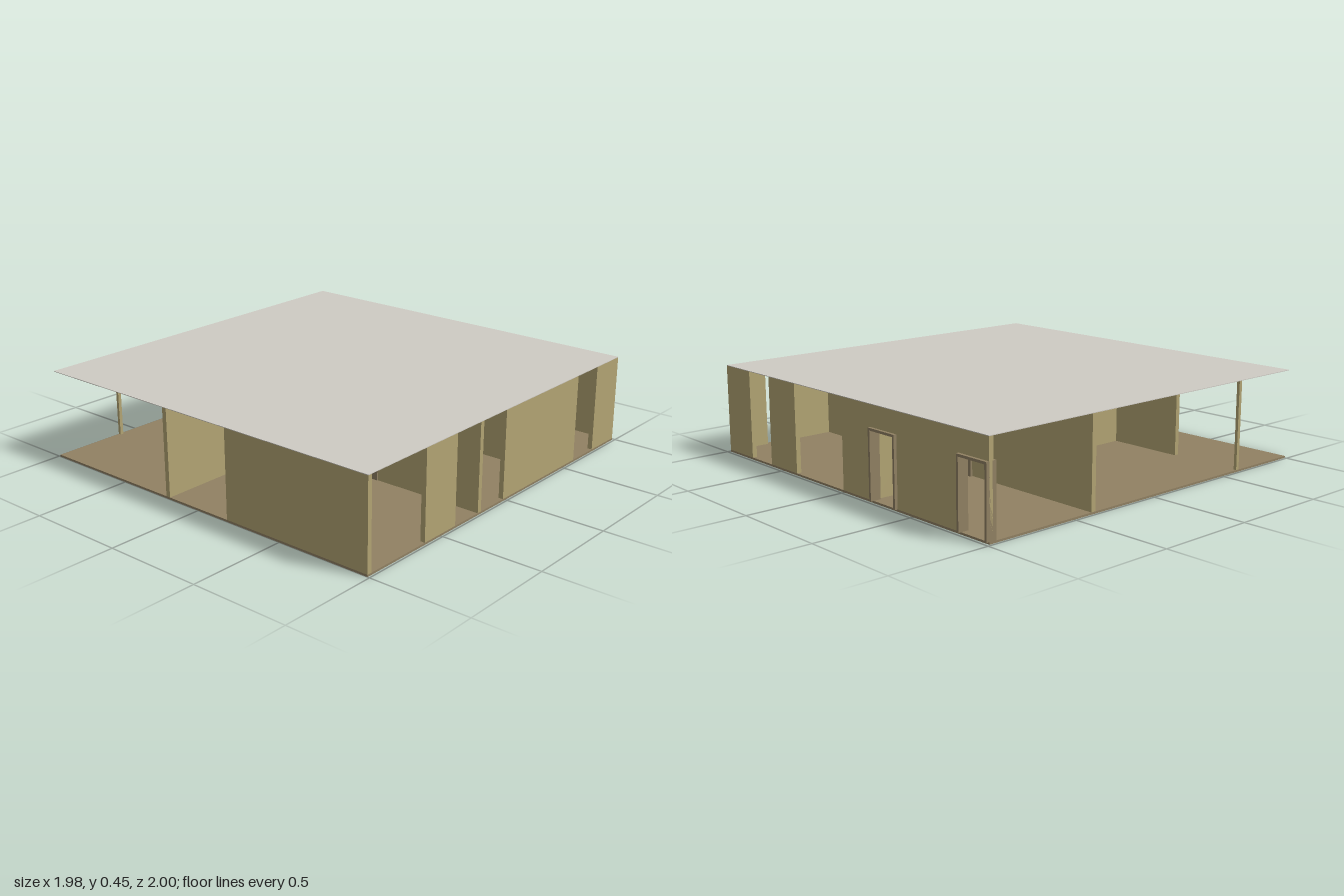
import * as THREE from 'three';

export function createModel() {
  const house = new THREE.Group();
  house.name = 'house';

  const mat = (name, color) => {
    const m = new THREE.MeshStandardMaterial({ color });
    m.name = name;
    return m;
  };
  const wallMat = mat('wall olive', 0xb3a574);
  const floorMat = mat('floor brown', 0x918163);
  const roofMat = mat('ceiling grey', 0xcfcbc4);
  const plateMat = mat('switch white', 0xe6e4de);

  const FLOOR = 0.01, TOP = 0.447, DOOR = 0.345;
  const T = 0.024; // wall thickness

  // Box from its two extreme corners
  function block(name, m, x0, x1, y0, y1, z0, z1, parent = house) {
    const mesh = new THREE.Mesh(new THREE.BoxGeometry(x1 - x0, y1 - y0, z1 - z0), m);
    mesh.position.set((x0 + x1) / 2, (y0 + y1) / 2, (z0 + z1) / 2);
    mesh.name = name;
    parent.add(mesh);
    return mesh;
  }

  // Walls running along x (centre z) and along z (centre x)
  const wallX = (name, z, x0, x1, y0 = FLOOR) =>
    block(name, wallMat, x0, x1, y0, TOP, z - T / 2, z + T / 2);
  const wallZ = (name, x, z0, z1, y0 = FLOOR) =>
    block(name, wallMat, x - T / 2, x + T / 2, y0, TOP, z0, z1);

  // Slabs
  block('floor', floorMat, -0.99, 0.99, 0, FLOOR, -0.985, 1);
  block('ceiling', roofMat, -0.99, 0.99, TOP, 0.45, -0.985, 1);

  // Back wall with tall openings
  const back = -0.985 + T / 2;
  for (const [a, b] of [[0.78, 0.99], [0.385, 0.605], [-0.21, 0.005], [-0.805, -0.395]]) {
    wallX('backWall', back, a, b);
  }

  // Right-hand outer wall, same rhythm of openings
  const side = 0.99 - T / 2;
  for (const [a, b] of [[0.395, 0.615], [-0.6, 0.02], [-0.961, -0.78]]) {
    wallZ('sideWall', side, a, b);
  }

  // Front wall beside the entrance, and porch wall
  wallX('frontWall', 1 - T / 2, 0.185, 0.99);
  wallX('porchWall', 0.615, -0.61, -0.21);

  // Inner partitions
  wallX('crossWallLeft', -0.385, -0.99, -0.186);
  wallX('crossWallRight', -0.385, 0.005, 0.99);
  wallX('bedroomWall', 0.21, 0.41, 0.99);
  wallZ('entranceWall', -0.198, 0.2, 1);
  wallZ('hallWall', 0.398, -0.373, 0.215);
  wallZ('hallWall', 0.398, 0.395, 0.976);
  wallZ('kitchenWall', -0.198, -0.961, -0.585);

  // Corner posts of the open side
  for (const z of [-0.975, 0.615]) {
    block('post', wallMat, -0.99, -0.975, FLOOR, TOP, z - 0.009, z + 0.009);
  }

  // Door frame with a header panel; local x is the width, local z the depth
  function doorway(name, width, depth) {
    const g = new THREE.Group();
    g.name = name;
    const w = width / 2, j = 0.012;
    for (const s of [-1, 1]) {
      const c = s * (w - j / 2);
      block('jamb', floorMat, c - j / 2, c + j / 2, FLOOR, DOOR, -depth / 2, depth / 2, g);
    }
    block('lintel', floorMat, -w + j, w - j, DOOR - j, DOOR, -depth / 2, depth / 2, g);
    block('header', wallMat, -w, w, DOOR, TOP, -T / 2, T / 2, g);
    house.add(g);
    return g;
  }
  doorway('backDoor', 0.185, 0.054).position.set(-0.3025, 0, back);
  doorway('backDoor', 0.185, 0.054).position.set(-0.8975, 0, back);
  for (const [x, z] of [[0.398, 0.305], [-0.198, -0.491]]) {
    const d = doorway('innerDoor', 0.18, 0.034);
    d.rotation.y = Math.PI / 2;
    d.position.set(x, 0, z);
  }

  // Small switch and socket plates
  const p = 0.007;
  const plateZ = (x, y, z) => block('wallPlate', plateMat, x - p, x + p, y - p, y + p, z, z + 0.004);
  const plateX = (x, y, z) => block('wallPlate', plateMat, x, x + 0.004, y - p, y + p, z - p, z + p);
  plateZ(-0.64, 0.25, -0.373);
  plateZ(-0.535, 0.055, 0.627);
  plateX(-0.186, 0.25, -0.63);
  plateX(-0.186, 0.055, -0.65);

  return house;
}
